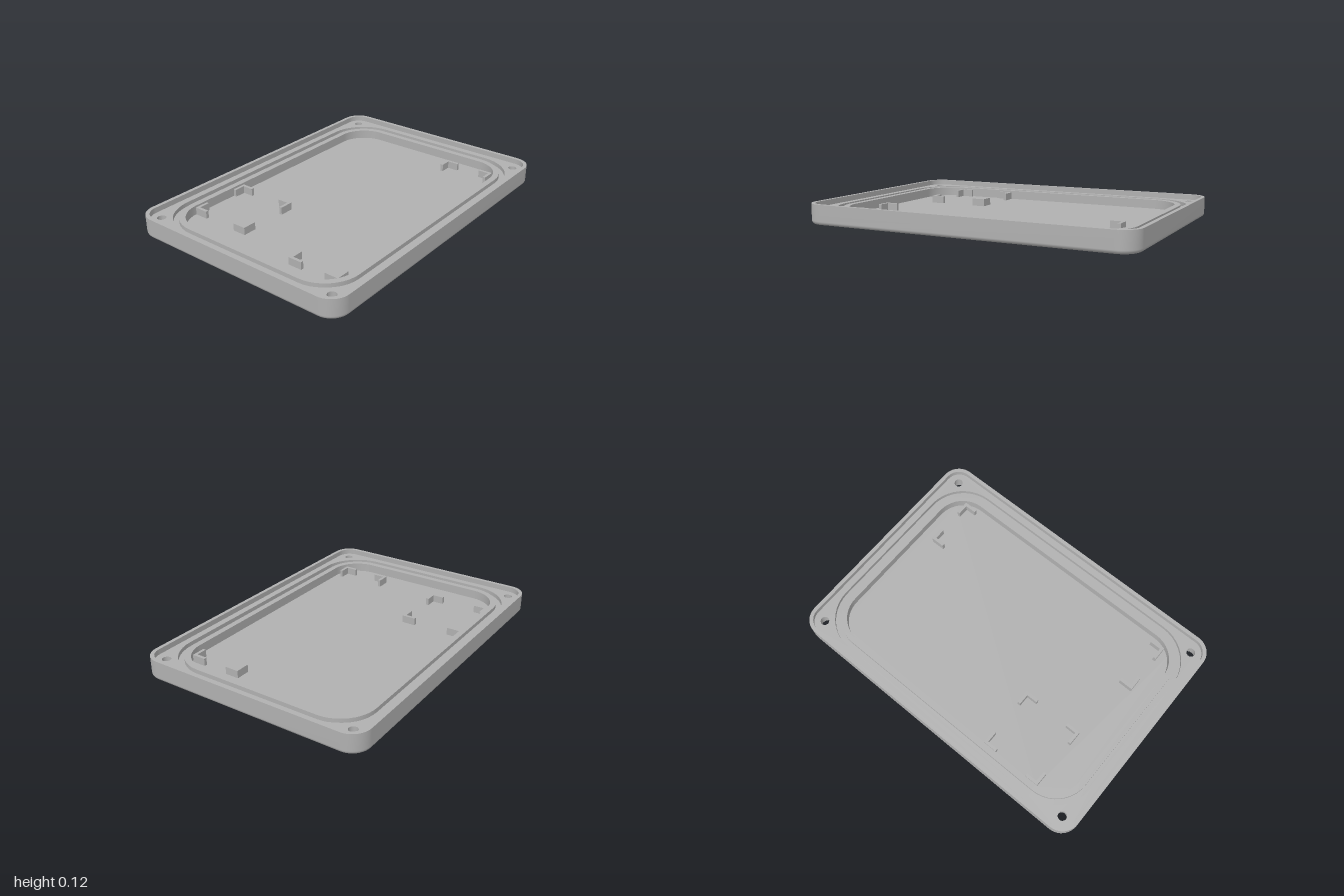
import * as THREE from 'three';

const shell = new THREE.MeshStandardMaterial({ color: 0xb0b0b0 });
shell.name = 'shell grey';

// Rounded rectangle as points in x/z; half sizes equal to the radius give a circle
function outline(hx, hz, r, cx = 0, cz = 0, n = 10) {
  const pts = [];
  [[1, 1], [-1, 1], [-1, -1], [1, -1]].forEach(([sx, sz], q) => {
    for (let i = 0; i <= n; i++) {
      const a = (q + i / n) * Math.PI / 2;
      pts.push(new THREE.Vector2(
        cx + sx * (hx - r) + r * Math.cos(a),
        cz + sz * (hz - r) + r * Math.sin(a)));
    }
  });
  return pts;
}

// Wall through stacked outlines: faces out when listed upwards, in when listed downwards
function wall(rings) {
  const n = rings[0].pts.length, pos = [], index = [];
  for (const { pts, y } of rings) for (const p of pts) pos.push(p.x, y, p.y);
  for (let k = 0; k < rings.length - 1; k++) {
    for (let i = 0; i < n; i++) {
      const a = k * n + i, b = k * n + (i + 1) % n;
      index.push(a, a + n, b, b, a + n, b + n);
    }
  }
  const g = new THREE.BufferGeometry();
  g.setAttribute('position', new THREE.Float32BufferAttribute(pos, 3));
  g.setIndex(index);
  g.computeVertexNormals();
  return g;
}

// Flat horizontal face with holes, facing up or down
function face(pts, holes, y, up) {
  const s = new THREE.Shape(pts);
  s.holes = holes.map(h => new THREE.Path(h));
  return new THREE.ShapeGeometry(s).rotateX(up ? -Math.PI / 2 : Math.PI / 2).translate(0, y, 0);
}

export function createModel() {
  const model = new THREE.Group();
  model.name = 'enclosureLid';
  const add = (name, geometry, parent = model) => {
    const m = new THREE.Mesh(geometry, shell);
    m.name = name;
    parent.add(m);
    return m;
  };

  const TOP = 0.12, LEDGE = 0.088, GROOVE = 0.063, FLOOR = 0.033, FILLET = 0.022;
  const HX = 0.71, HZ = 1, R = 0.11;
  const outer = outline(HX, HZ, R);
  const base = outline(HX - FILLET, HZ - FILLET, R - FILLET);
  const rimInner = outline(0.687, 0.977, 0.087);
  const grooveOuter = outline(0.647, 0.937, 0.25);
  const grooveInner = outline(0.612, 0.902, 0.215);
  const cavity = outline(0.576, 0.866, 0.18);
  const recess = outline(0.4, 0.2, 0.03);

  // Screw positions in the four corners
  const screws = [];
  for (const sx of [-1, 1]) for (const sz of [-1, 1]) screws.push([sx * 0.617, sz * 0.907]);
  const circles = r => screws.map(([x, z]) => outline(r, r, r, x, z, 6));
  const bores = circles(0.026), counterbores = circles(0.039);

  // Outer side with rounded bottom edge
  const side = [];
  for (let i = 0; i <= 6; i++) {
    const a = i / 6 * Math.PI / 2, inset = FILLET * (1 - Math.sin(a));
    side.push({ pts: outline(HX - inset, HZ - inset, R - inset), y: FILLET * (1 - Math.cos(a)) });
  }
  side.push({ pts: outer, y: TOP });
  add('outerSide', wall(side));

  // Rim and screw ledge
  add('rimTop', face(outer, [rimInner], TOP, true));
  add('rimInside', wall([{ pts: rimInner, y: TOP }, { pts: rimInner, y: LEDGE }]));
  add('screwLedge', face(rimInner, [grooveOuter, ...bores], LEDGE, true));

  // Seal groove and the land inside it
  add('grooveOuterWall', wall([{ pts: grooveOuter, y: LEDGE }, { pts: grooveOuter, y: GROOVE }]));
  add('grooveFloor', face(grooveOuter, [grooveInner], GROOVE, true));
  add('grooveInnerWall', wall([{ pts: grooveInner, y: GROOVE }, { pts: grooveInner, y: LEDGE }]));
  add('innerLand', face(grooveInner, [cavity], LEDGE, true));

  // Cavity
  add('cavityWall', wall([{ pts: cavity, y: LEDGE }, { pts: cavity, y: FLOOR }]));
  add('cavityFloor', face(cavity, [], FLOOR, true));

  // Underside with shallow label recess
  add('underside', face(base, [recess, ...counterbores], 0, false));
  add('recessWall', wall([{ pts: recess, y: 0.01 }, { pts: recess, y: 0 }]));
  add('recessPanel', face(recess, [], 0.01, false));

  // Stepped screw holes
  const STEP = 0.04;
  screws.forEach((_, i) => {
    const hole = new THREE.Group();
    hole.name = 'screwHole';
    model.add(hole);
    add('bore', wall([{ pts: bores[i], y: LEDGE }, { pts: bores[i], y: STEP }]), hole);
    add('counterbore', wall([{ pts: counterbores[i], y: STEP }, { pts: counterbores[i], y: 0 }]), hole);
    add('counterboreStep', face(counterbores[i], [bores[i]], STEP, false), hole);
  });

  // L-shaped corner brackets locating two boards: x0, x1, z0, z1
  const ARM = 0.085, T = 0.018, H = 0.045;
  for (const [x0, x1, z0, z1] of [[-0.573, -0.182, 0.305, 0.693], [0.215, 0.542, -0.78, 0.77]]) {
    for (const [x, sx] of [[x0, 1], [x1, -1]]) {
      for (const [z, sz] of [[z0, 1], [z1, -1]]) {
        const bracket = new THREE.Group();
        bracket.name = 'cornerBracket';
        bracket.position.set(x, FLOOR + H / 2, z);
        model.add(bracket);
        add('armX', new THREE.BoxGeometry(ARM, H, T), bracket).position.set(sx * ARM / 2, 0, sz * T / 2);
        add('armZ', new THREE.BoxGeometry(T, H, ARM - T), bracket).position.set(sx * T / 2, 0, sz * (ARM + T) / 2);
      }
    }
  }
  return model;
}
